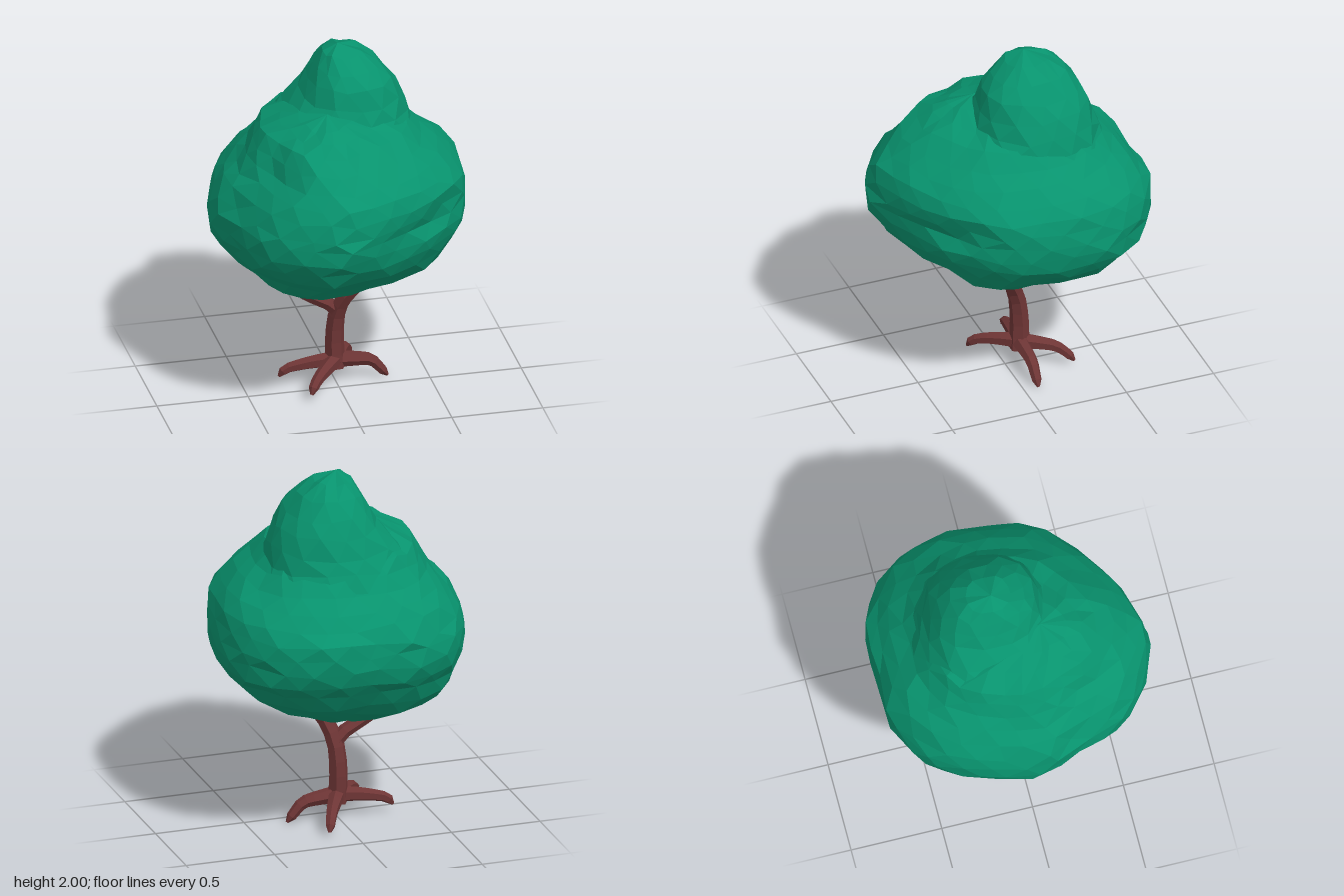
import * as THREE from 'three';

const leafGreen = new THREE.MeshStandardMaterial({ color: 0x08936e });
const barkBrown = new THREE.MeshStandardMaterial({ color: 0x6e3535 });

// repeatable noise in -1..1
function noise(i, j) {
  const s = Math.sin(i * 127.1 + j * 311.7 + 4.3) * 43758.5453;
  return (s - Math.floor(s)) * 2 - 1;
}

// faceted look: split vertices so every face has its own normal
function faceted(geometry) {
  const flat = geometry.toNonIndexed();
  flat.computeVertexNormals();
  return flat;
}

// widest outline of the foliage, seen from above (x, z)
const canopyOutline = [
  [-0.24, -0.73], [0.0, -0.73], [0.25, -0.73], [0.38, -0.69], [0.56, -0.55], [0.65, -0.4], [0.69, -0.25],
  [0.69, -0.1], [0.67, 0.05], [0.62, 0.24], [0.43, 0.46], [0.14, 0.64], [-0.05, 0.71], [-0.17, 0.73],
  [-0.32, 0.67], [-0.48, 0.57], [-0.58, 0.39], [-0.63, 0.2], [-0.69, 0.1], [-0.7, -0.05], [-0.64, -0.3],
  [-0.53, -0.55], [-0.38, -0.66],
];
// slightly squared circle for the crown
const squarish = (c) => Math.sign(c) * Math.abs(c) ** 0.85;
const crownOutline = Array.from({ length: 16 }, (_, i) => {
  const a = (i / 16) * Math.PI * 2;
  return [squarish(Math.cos(a)), squarish(Math.sin(a))];
});

// swells (+) and hollows (-) of the foliage: x, y, z, size across, size up, amount
const swells = [
  [0.18, 1.12, 0.6, 0.15, 0.07, -0.06],
  [0.42, 1.17, 0.45, 0.15, 0.08, -0.09],
  [-0.38, 1.44, 0.33, 0.17, 0.07, -0.07],
  [-0.12, 1.46, 0.48, 0.16, 0.07, -0.07],
  [0.32, 0.8, 0.27, 0.24, 0.13, 0.13],
  [-0.36, 0.77, -0.4, 0.22, 0.12, 0.09],
  [0.36, 0.77, -0.4, 0.2, 0.1, 0.03],
];

// rings of the outline, each fitted to [y, xMin, xMax, zMin, zMax], closed at bottom and top points
function lump(outline, sides, levels, bottom, top, rough) {
  const curve = new THREE.CatmullRomCurve3(outline.map(([x, z]) => new THREE.Vector3(x, 0, z)), true);
  const box = new THREE.Box3().setFromPoints(curve.points);
  const pos = [], index = [];
  levels.forEach(([y, x0, x1, z0, z1], i) => {
    for (let j = 0; j < sides; j++) {
      const t = (j + (i % 2) * 0.5 + noise(i, j) * 0.2 + 1) / sides;
      const p = curve.getPointAt(t % 1);
      const u = (p.x - box.min.x) / (box.max.x - box.min.x);
      const v = (p.z - box.min.z) / (box.max.z - box.min.z);
      const q = new THREE.Vector3(x0 + (x1 - x0) * u, y + noise(j, i + 40) * rough * 1.4, z0 + (z1 - z0) * v);
      let scale = 1 + noise(i + 9, j) * rough;
      for (const [sx, sy, sz, across, up, amount] of swells) {
        const d = ((q.x - sx) ** 2 + (q.z - sz) ** 2) / across ** 2 + (q.y - sy) ** 2 / up ** 2;
        scale += amount * Math.exp(-d);
      }
      const cx = (x0 + x1) / 2, cz = (z0 + z1) / 2;
      pos.push(cx + (q.x - cx) * scale, q.y, cz + (q.z - cz) * scale);
    }
  });
  const low = pos.length / 3, high = low + 1, last = (levels.length - 1) * sides;
  pos.push(...bottom, ...top);
  for (let j = 0; j < sides; j++) {
    const k = (j + 1) % sides;
    index.push(low, j, k, high, last + k, last + j);
    for (let i = 0; i < levels.length - 1; i++) {
      const a = i * sides + j, b = i * sides + k, c = a + sides, d = b + sides;
      if (i % 2) index.push(a, c, d, a, d, b);
      else index.push(a, c, b, b, c, d);
    }
  }
  const g = new THREE.BufferGeometry();
  g.setAttribute('position', new THREE.Float32BufferAttribute(pos, 3));
  g.setIndex(index);
  return faceted(g);
}

// tapering limb along a curve, closed to a blunt tip
function limb(points, r0, r1) {
  const curve = new THREE.CatmullRomCurve3(points.map((p) => new THREE.Vector3(...p)));
  const segments = 9, sides = 6;
  const g = new THREE.TubeGeometry(curve, segments, 1, sides);
  const p = g.attributes.position, v = new THREE.Vector3();
  for (let i = 0; i < p.count; i++) {
    const ring = Math.floor(i / (sides + 1)), t = ring / segments;
    const c = curve.getPointAt(t);
    const r = ring === segments ? 0.008 : r0 + (r1 - r0) * t;
    v.fromBufferAttribute(p, i).sub(c).multiplyScalar(r).add(c);
    p.setXYZ(i, v.x, v.y, v.z);
  }
  return faceted(g);
}

export function createModel() {
  const tree = new THREE.Group();
  tree.name = 'tree';
  const add = (name, geometry, material) => {
    const mesh = new THREE.Mesh(geometry, material);
    mesh.name = name;
    tree.add(mesh);
  };

  // broad lower foliage
  add('lowerFoliage', lump(canopyOutline, 24, [
    [0.622, -0.22, 0.18, -0.25, 0.12],
    [0.68, -0.39, 0.3, -0.4, 0.29],
    [0.75, -0.51, 0.43, -0.52, 0.4],
    [0.83, -0.59, 0.55, -0.59, 0.5],
    [0.91, -0.645, 0.62, -0.655, 0.61],
    [0.99, -0.69, 0.68, -0.705, 0.685],
    [1.07, -0.7, 0.695, -0.73, 0.73],
    [1.15, -0.695, 0.695, -0.73, 0.74],
    [1.22, -0.67, 0.69, -0.72, 0.735],
    [1.3, -0.62, 0.67, -0.67, 0.72],
    [1.37, -0.56, 0.61, -0.61, 0.695],
    [1.44, -0.51, 0.53, -0.54, 0.64],
    [1.51, -0.465, 0.45, -0.48, 0.565],
    [1.58, -0.425, 0.37, -0.43, 0.46],
    [1.63, -0.33, 0.22, -0.27, 0.37],
    [1.665, -0.24, 0.06, -0.1, 0.29],
  ], [0, 0.597, -0.08], [-0.1, 1.7, 0.14], 0.011), leafGreen);

  // rounded crown sunk into the top, flaring at its foot
  add('crown', lump(crownOutline, 14, [
    [1.4, -0.44, 0.5, -0.55, 0.36],
    [1.53, -0.37, 0.42, -0.49, 0.27],
    [1.62, -0.28, 0.39, -0.455, 0.21],
    [1.72, -0.19, 0.35, -0.42, 0.18],
    [1.81, -0.145, 0.3, -0.375, 0.15],
    [1.89, -0.11, 0.23, -0.31, 0.09],
    [1.955, -0.065, 0.14, -0.23, 0.01],
  ], [0.05, 1.36, -0.12], [0.015, 2.0, -0.1], 0.01), leafGreen);

  // trunk bending into the thick branch, and a thin side branch
  add('trunk', limb([[0, 0.09, -0.08], [-0.005, 0.25, -0.085], [0.005, 0.42, -0.065], [0.04, 0.53, -0.02],
    [0.105, 0.63, 0.025], [0.15, 0.74, 0.05]], 0.056, 0.038), barkBrown);
  add('sideBranch', limb([[0.015, 0.41, -0.065], [-0.04, 0.475, -0.06], [-0.13, 0.525, -0.06],
    [-0.205, 0.575, -0.065], [-0.25, 0.65, -0.07], [-0.27, 0.72, -0.07]], 0.04, 0.032), barkBrown);

  // four spreading roots, given by their tips
  const base = new THREE.Vector3(0, 0.13, -0.08);
  [[0.285, 0.008, -0.08], [0.135, 0.025, -0.345], [-0.185, 0.045, 0.145], [-0.305, 0.05, -0.11]].forEach(([x, y, z], i) => {
    const along = (t, h) => [base.x + (x - base.x) * t, h, base.z + (z - base.z) * t];
    add('root' + (i + 1), limb([along(-0.05, 0.135), along(0.35, 0.125), along(0.68, 0.108),
      along(0.88, y + 0.04), [x, y, z]], 0.048, 0.024), barkBrown);
  });

  return tree;
}
